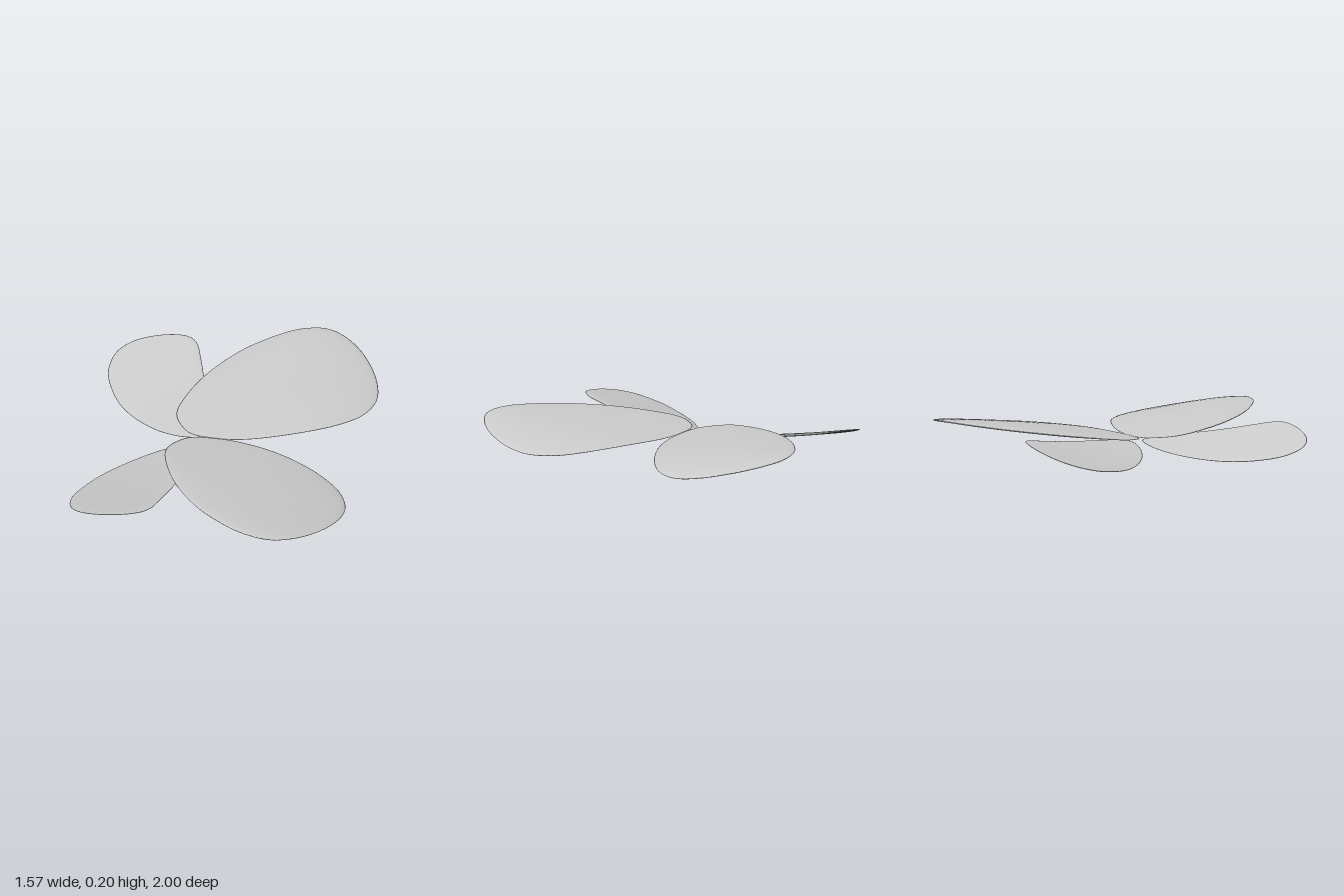
import * as THREE from 'three';
import { mergeVertices } from 'three/addons/utils/BufferGeometryUtils.js';

// Outlines as [x, z] for the +z side, running from +x towards +z
const LARGE = [
  [-0.16, 0.004], [-0.07, 0], [0.04, 0.003], [0.2, 0.04], [0.4, 0.12], [0.6, 0.24], [0.73, 0.37], [0.783, 0.51],
  [0.763, 0.65], [0.68, 0.81], [0.58, 0.92], [0.48, 0.982], [0.4, 0.999], [0.3, 0.98], [0.2, 0.935],
  [0, 0.78], [-0.12, 0.64], [-0.21, 0.5], [-0.28, 0.34], [-0.315, 0.2], [-0.304, 0.13], [-0.27, 0.075], [-0.22, 0.025],
];
const SMALL = [
  [-0.14, 0.035], [-0.12, 0.09], [-0.14, 0.25], [-0.21, 0.5], [-0.27, 0.7], [-0.3, 0.78], [-0.35, 0.83],
  [-0.45, 0.853], [-0.6, 0.84], [-0.7, 0.8], [-0.765, 0.73], [-0.785, 0.6], [-0.735, 0.45],
  [-0.66, 0.325], [-0.55, 0.21], [-0.39, 0.095], [-0.23, 0.033],
];

// Mid-surface heights: large wings rise outward and droop towards +x
const largeHeight = (x, z) => 0.094 + 0.1 * z - 0.18 * Math.max(0, x - 0.22) ** 2;
// Small wings tilt across their width (s) and curl up along their length (t)
const smallHeight = (x, z) => {
  const s = 0.95 * (x + 0.13) + 0.32 * (z - 0.05);
  const t = -0.32 * (x + 0.13) + 0.95 * (z - 0.05);
  return 0.078 + 0.1 * t * t + 0.24 * s - 0.6 * Math.max(0, s) ** 2;
};

// Thin shell, thinner at the root: rings run from the top centre, round the rim, to the bottom centre
function wingGeometry(outline, height, side, halfThickness, camber) {
  const curve = new THREE.CatmullRomCurve3(outline.map(([x, z]) => new THREE.Vector3(x, 0, z)), true);
  const N = 96;
  const rim = curve.getSpacedPoints(N).slice(0, N);
  const centre = rim.reduce((a, p) => a.add(p), new THREE.Vector3()).divideScalar(N);
  const radii = [0, 0.2, 0.4, 0.6, 0.75, 0.87, 0.94, 0.975, 0.992, 1];
  const rings = [
    ...radii.map((r) => [r, 1]),
    ...radii.slice(0, -1).reverse().map((r) => [r, -1]),
  ];
  const pos = [];
  const index = [];
  rings.forEach(([r, face], j) => {
    const offset = face * halfThickness * Math.sqrt(1 - r ** 10);
    const bulge = camber * (1 - r ** 4);
    for (let i = 0; i < N; i++) {
      const p = centre.clone().lerp(rim[i], r);
      const taper = 0.3 + 0.7 * THREE.MathUtils.smoothstep(p.z, 0, 0.5);
      pos.push(p.x, height(p.x, p.z) + offset * taper + bulge, p.z * side);
      if (j === rings.length - 1) continue;
      const k = (i + 1) % N;
      const a = j * N + i, b = j * N + k, c = a + N, d = b + N;
      const tris = [];
      // The first and last bands close to a point
      if (j < rings.length - 2) tris.push([a, d, c]);
      if (j > 0) tris.push([a, b, d]);
      for (const [u, v, w] of tris) side > 0 ? index.push(u, v, w) : index.push(u, w, v);
    }
  });
  const geo = new THREE.BufferGeometry();
  geo.setAttribute('position', new THREE.Float32BufferAttribute(pos, 3));
  geo.setIndex(index);
  const merged = mergeVertices(geo, 1e-5);
  merged.computeVertexNormals();
  return merged;
}

export function createModel() {
  const group = new THREE.Group();
  group.name = 'wings';
  const material = new THREE.MeshStandardMaterial({ color: 0xcccccc, side: THREE.DoubleSide });
  for (const side of [1, -1]) {
    const end = side > 0 ? 'Front' : 'Back';
    const large = new THREE.Mesh(wingGeometry(LARGE, largeHeight, side, 0.011, 0.003), material);
    large.name = 'largeWing' + end;
    const small = new THREE.Mesh(wingGeometry(SMALL, smallHeight, side, 0.008, 0), material);
    small.name = 'smallWing' + end;
    group.add(large, small);
  }
  return group;
}
